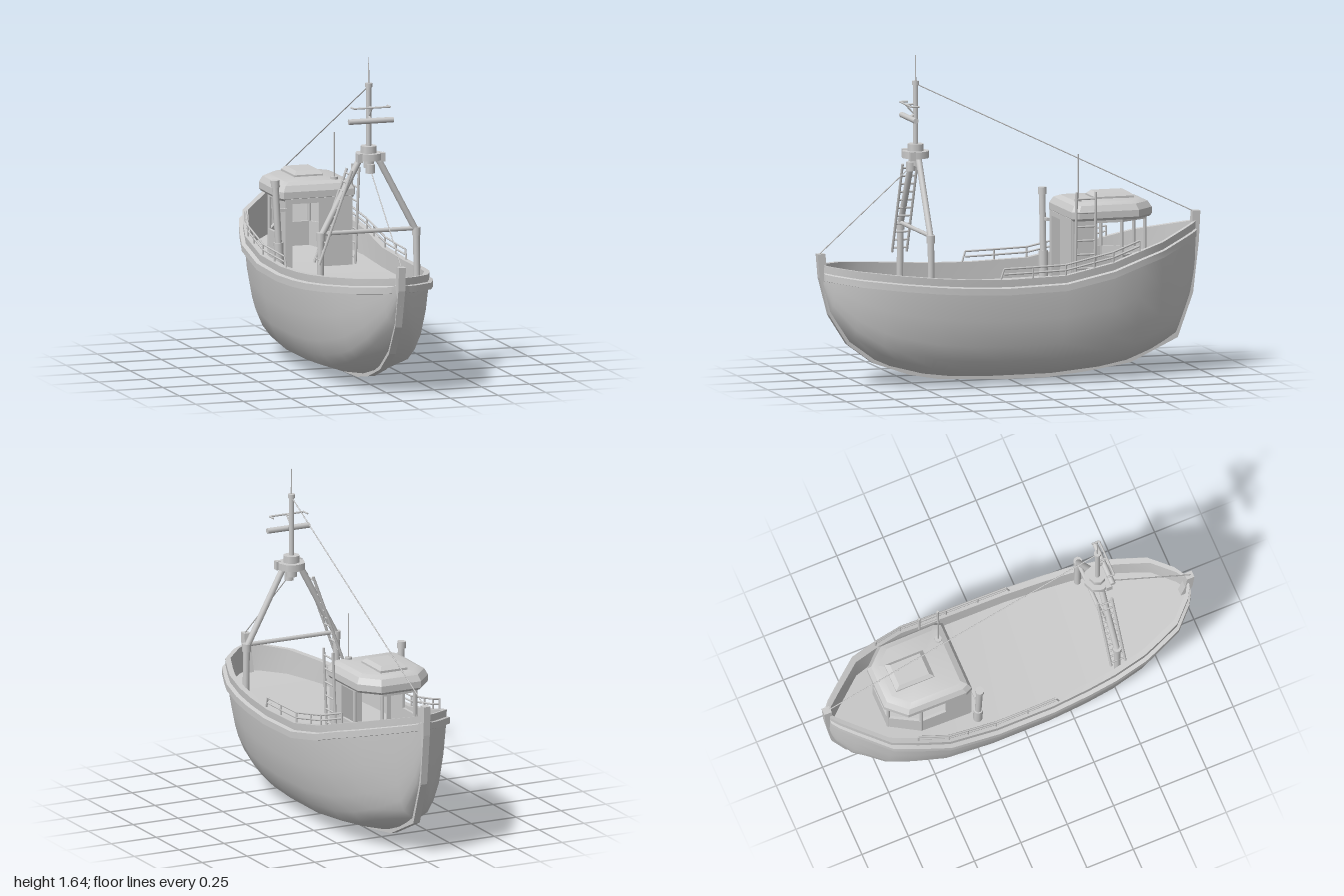
import * as THREE from 'three';
import { toCreasedNormals } from 'three/addons/utils/BufferGeometryUtils.js';

const mat = new THREE.MeshStandardMaterial({ color: 0xcccccc, side: THREE.DoubleSide });
const V = (x, y, z) => new THREE.Vector3(x, y, z);

// Hull stations: z, half width, sheer height, keel height
const stations = [
  [0.965, 0.03, 0.613, 0.5], [0.93, 0.09, 0.609, 0.37], [0.83, 0.19, 0.598, 0.22],
  [0.7, 0.243, 0.585, 0.125], [0.62, 0.272, 0.577, 0.09], [0.45, 0.305, 0.562, 0.045],
  [0.3, 0.32, 0.552, 0.025], [0.1, 0.333, 0.546, 0.018], [-0.2, 0.335, 0.554, 0.018],
  [-0.45, 0.327, 0.605, 0.038], [-0.6, 0.288, 0.65, 0.063], [-0.73, 0.246, 0.685, 0.11],
  [-0.87, 0.125, 0.722, 0.185], [-0.94, 0.062, 0.741, 0.36], [-0.97, 0.025, 0.75, 0.5],
];
// Outer line of the stem, keel and stern post: z, y
const keelLine = [
  [0.995, 0.67], [0.985, 0.55], [0.935, 0.36], [0.84, 0.21], [0.705, 0.11], [0.52, 0.045],
  [0.36, 0.015], [0, 0], [-0.2, 0], [-0.4, 0.02], [-0.635, 0.055], [-0.88, 0.17],
  [-0.96, 0.39], [-0.99, 0.65], [-0.998, 0.8],
];
// Hull section: height fraction, width fraction
const section = [[0, 0], [0.02, 0.22], [0.1, 0.6], [0.2, 0.73], [0.35, 0.84], [0.6, 0.93], [0.87, 0.985], [1, 1]];

const deckY = (sheer) => 0.455 + 0.35 * (sheer - 0.546);

// Half width and sheer height at any z
function at(z) {
  let i = 0;
  while (i < stations.length - 2 && stations[i + 1][0] > z) i++;
  const a = stations[i], b = stations[i + 1], t = (z - a[0]) / (b[0] - a[0]);
  return { w: a[1] + (b[1] - a[1]) * t, s: a[2] + (b[2] - a[2]) * t };
}

// Surface through rows of points
function loft(rows, crease = 0.5) {
  const n = rows[0].length, index = [];
  for (let i = 0; i < rows.length - 1; i++)
    for (let j = 0; j < n - 1; j++) {
      const a = i * n + j, b = a + n;
      index.push(a, b, a + 1, b, b + 1, a + 1);
    }
  const g = new THREE.BufferGeometry().setFromPoints(rows.flat());
  g.setIndex(index);
  return toCreasedNormals(g, crease);
}

function add(parent, name, geo) {
  const m = new THREE.Mesh(geo, mat);
  m.name = name;
  parent.add(m);
  return m;
}

function rod(parent, name, a, b, r, sides = 8, rTop = r) {
  const m = add(parent, name, new THREE.CylinderGeometry(rTop, r, a.distanceTo(b), sides));
  m.position.copy(a).add(b).multiplyScalar(0.5);
  m.quaternion.setFromUnitVectors(V(0, 1, 0), b.clone().sub(a).normalize());
}

function box(parent, name, w, h, d, x, y, z) {
  const m = add(parent, name, new THREE.BoxGeometry(w, h, d));
  m.position.set(x, y, z);
  return m;
}

// Upright wall between two plan points [x, z]
function wall(parent, name, a, b, y0, y1, t = 0.014) {
  const m = box(parent, name, Math.hypot(b[0] - a[0], b[1] - a[1]), y1 - y0, t,
    (a[0] + b[0]) / 2, (y0 + y1) / 2, (a[1] + b[1]) / 2);
  m.rotation.y = -Math.atan2(b[1] - a[1], b[0] - a[0]);
}

// Stacked rings of a plan outline: each level is [y, scale]
function stack(outline, cz, levels) {
  const ring = [...outline, outline[0]];
  return loft(levels.map(([y, k]) => ring.map(([x, z]) => V(x * k, y, cz + (z - cz) * k))), 0.35);
}

// Ladder with two stiles spaced along z
function ladder(parent, name, bottom, top, width, rungs) {
  const g = new THREE.Group();
  g.name = name;
  const h = V(0, 0, width / 2);
  for (const s of [-1, 1])
    rod(g, 'stile', bottom.clone().addScaledVector(h, s), top.clone().addScaledVector(h, s), 0.007, 6);
  for (let i = 0; i < rungs; i++) {
    const p = bottom.clone().lerp(top, (i + 0.5) / rungs);
    rod(g, 'rung', p.clone().sub(h), p.clone().add(h), 0.005, 6);
  }
  parent.add(g);
}

function buildHull(g) {
  const full = [...section.slice(1).reverse().map(([t, f]) => [t, f, -1]), ...section.map(([t, f]) => [t, f, 1])];
  add(g, 'hull', loft(stations.map(([z, w, s, k]) => {
    const p = 1 + 0.5 * Math.abs(z) ** 4;
    return full.map(([t, f, side]) => V(side * w * f ** p, k + t * (s - k), z));
  }), 0.9));
  add(g, 'deck', loft(stations.map(([z, w, s]) => [-1, 1].map((i) => V(i * Math.max(w - 0.02, 0.004), deckY(s), z)))));
  for (const i of [-1, 1]) {
    add(g, 'bulwark', loft(stations.map(([z, w, s]) => [
      V(i * w, s, z), V(i * Math.max(w - 0.03, 0), s, z), V(i * Math.max(w - 0.035, 0), deckY(s) - 0.01, z)])));
    add(g, 'rubbingStrake', loft(stations.map(([z, w, s]) =>
      [[-0.01, -0.078], [0.018, -0.075], [0.018, -0.042], [-0.01, -0.035]].map(([o, y]) => V(i * (w + o), s + y, z)))));
  }
  // Stem, keel and stern post in one band
  const inner = keelLine.map(([z, y]) => [z * 0.96, y + (y < 0.6 ? 0.022 : 0)]).reverse();
  const shape = new THREE.Shape([...keelLine, ...inner].map(([z, y]) => new THREE.Vector2(z, y)));
  const keel = new THREE.ExtrudeGeometry(shape, { depth: 0.036, bevelEnabled: false });
  add(g, 'keel', keel.translate(0, 0, -0.018).rotateY(-Math.PI / 2));
}

function buildRails(g) {
  for (const i of [-1, 1]) {
    const point = (z, up) => { const { w, s } = at(z); return V(i * (w - 0.015), s + up, z); };
    const zs = [0.12, -0.03, -0.2, -0.35, -0.45, -0.6];
    for (const up of [0.025, 0.052])
      for (let j = 0; j < zs.length - 1; j++) rod(g, 'handrail', point(zs[j], up), point(zs[j + 1], up), 0.005, 6);
    for (const z of zs) rod(g, 'railPost', point(z + (z > 0.1 ? 0.02 : 0), -0.01), point(z, 0.052), 0.005, 6);
  }
}

function buildCabin(g) {
  const base = 0.44, sill = 0.62, top = 0.81;
  for (const i of [-1, 1]) {
    const back = [i * 0.17, -0.28], mid = [i * 0.17, -0.41], side = [i * 0.17, -0.54], front = [i * 0.09, -0.685];
    wall(g, 'sideWall', back, mid, base, top);
    for (const [a, b] of [[mid, side], [side, front]]) {
      wall(g, 'lowerWall', a, b, base, sill);
      wall(g, 'windowHead', a, b, 0.785, top);
    }
    for (const [x, z] of [side, front]) rod(g, 'windowPillar', V(x, base, z), V(x, top, z), 0.009, 6);
  }
  wall(g, 'frontWall', [-0.09, -0.685], [0.09, -0.685], base, sill);
  wall(g, 'windowHead', [-0.09, -0.685], [0.09, -0.685], 0.785, top);
  // Rear wall with an open doorway
  wall(g, 'rearWall', [0, -0.28], [0.175, -0.28], base, top);
  wall(g, 'doorJamb', [-0.175, -0.28], [-0.14, -0.28], base, top);
  wall(g, 'doorHead', [-0.14, -0.28], [0, -0.28], 0.785, top);

  const roof = [[-0.185, -0.275], [-0.2, -0.31], [-0.197, -0.62], [-0.11, -0.715],
    [0.11, -0.715], [0.197, -0.62], [0.2, -0.31], [0.185, -0.275]];
  add(g, 'roof', stack(roof, -0.48, [[0.8, 0], [0.8, 0.96], [0.812, 1], [0.845, 1], [0.875, 0.92], [0.888, 0.78], [0.893, 0]]));
  const hatch = [[-0.075, -0.43], [-0.075, -0.635], [0.075, -0.635], [0.075, -0.43]];
  add(g, 'roofHatch', stack(hatch, -0.53, [[0.88, 1], [0.9, 1], [0.918, 0.78], [0.918, 0]]));

  rod(g, 'aerialBase', V(0.1, 0.87, -0.335), V(0.1, 0.9, -0.335), 0.018, 10);
  rod(g, 'aerial', V(0.1, 0.9, -0.335), V(0.1, 1.125, -0.335), 0.003, 5);
  ladder(g, 'cabinLadder', V(0.195, 0.46, -0.34), V(0.215, 0.95, -0.34), 0.1, 7);

  // Exhaust stack beside the doorway
  rod(g, 'exhaustFoot', V(-0.213, 0.44, -0.255), V(-0.22, 0.6, -0.255), 0.024, 10);
  rod(g, 'exhaustPipe', V(-0.22, 0.6, -0.255), V(-0.237, 0.9, -0.255), 0.017, 10);
  rod(g, 'exhaustCap', V(-0.236, 0.88, -0.255), V(-0.238, 0.915, -0.255), 0.022, 10);
  box(g, 'exhaustBracket', 0.06, 0.015, 0.015, -0.2, 0.76, -0.265);
}

function buildMast(g) {
  const z = 0.48;
  for (const i of [-1, 1]) {
    rod(g, 'mastLeg', V(i * 0.255, 0.44, z), V(i * 0.25, 0.76, z), 0.017, 10);
    rod(g, 'legJoint', V(i * 0.25, 0.735, z), V(i * 0.25, 0.775, z), 0.022, 10);
    rod(g, 'mastStrut', V(i * 0.25, 0.755, z), V(i * 0.045, 1.14, z), 0.016, 10);
  }
  rod(g, 'crossBar', V(-0.25, 0.77, z), V(0.25, 0.77, z), 0.011, 8);
  ladder(g, 'mastLadder', V(-0.272, 0.62, 0.477), V(-0.1, 1.085, 0.477), 0.076, 11);

  rod(g, 'mastHead', V(0, 1.09, z), V(0, 1.135, z), 0.028, 8);
  rod(g, 'platform', V(0, 1.13, z), V(0, 1.165, z), 0.07, 8);
  rod(g, 'collar', V(0, 1.165, z), V(0, 1.2, z), 0.042, 8);
  for (const i of [-1, 1]) box(g, 'platformBlock', 0.024, 0.044, 0.03, i * 0.06, 1.146, z + 0.035);
  rod(g, 'lamp', V(0, 1.065, z + 0.025), V(0, 1.11, z + 0.025), 0.024, 8);

  rod(g, 'mastPole', V(0, 1.2, z), V(0, 1.5, z), 0.013, 10);
  rod(g, 'mastCap', V(0, 1.495, z), V(0, 1.515, z), 0.018, 10);
  rod(g, 'mastAerial', V(0, 1.51, z), V(0, 1.645, z), 0.004, 5, 0.002);

  // Radar bar and thin aerial bar with brackets
  rod(g, 'radarBar', V(-0.117, 1.33, 0.515), V(0.117, 1.33, 0.515), 0.014, 10);
  rod(g, 'radarBracket', V(0, 1.33, 0.515), V(0, 1.35, z), 0.008, 6);
  rod(g, 'aerialBar', V(-0.095, 1.398, 0.53), V(0.095, 1.398, 0.53), 0.005, 6);
  rod(g, 'aerialArm', V(0, 1.398, 0.53), V(0, 1.398, z), 0.005, 6);
  rod(g, 'aerialBrace', V(0, 1.395, 0.53), V(0, 1.34, z), 0.004, 6);
  for (const i of [-1, 1]) rod(g, 'aerialTip', V(i * 0.095, 1.398, 0.53), V(i * 0.095, 1.398, 0.49), 0.005, 6);

  rod(g, 'foreStay', V(0, 1.5, z), V(0, 0.79, -0.98), 0.003, 5);
  rod(g, 'backStay', V(0, 1.09, 0.5), V(0, 0.665, 0.985), 0.003, 5);
}

export function createModel() {
  const model = new THREE.Group();
  model.name = 'fishingBoat';
  for (const [name, build] of [['hullGroup', buildHull], ['sideRails', buildRails], ['cabin', buildCabin], ['mast', buildMast]]) {
    const g = new THREE.Group();
    g.name = name;
    build(g);
    model.add(g);
  }
  return model;
}
